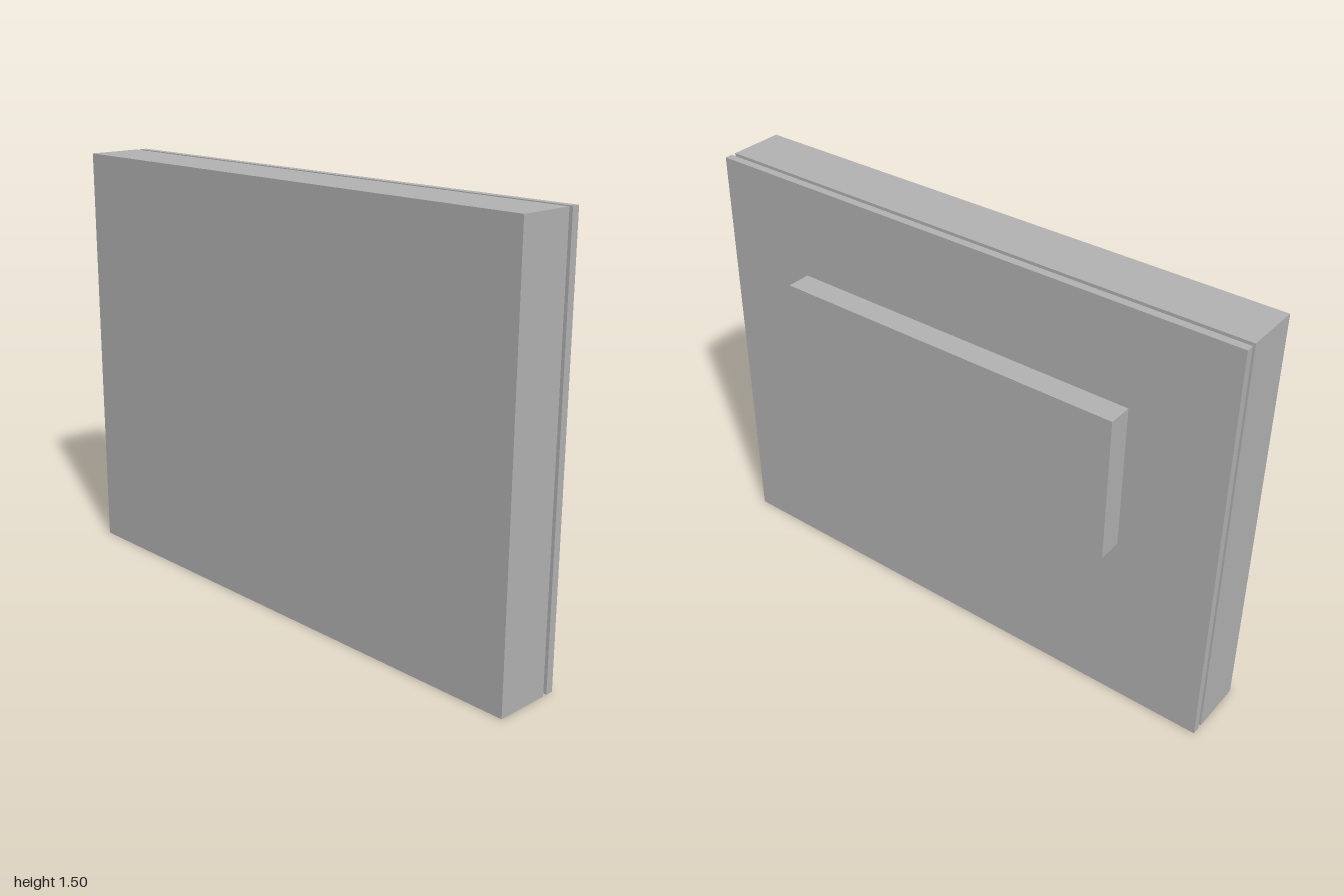
import * as THREE from 'three';

export function createModel() {
  const group = new THREE.Group();
  const grey = new THREE.MeshStandardMaterial({ color: 0xb2b2b2 });
  grey.name = 'grey';

  // A box given by its width, its bottom and top, and its back and front
  function slab(name, width, y0, y1, z0, z1) {
    const mesh = new THREE.Mesh(new THREE.BoxGeometry(width, y1 - y0, z1 - z0), grey);
    mesh.position.set(0, (y0 + y1) / 2, (z0 + z1) / 2);
    mesh.name = name;
    group.add(mesh);
  }

  // Thick front panel
  slab('frontPanel', 2, 0, 1.5, -0.034, 0.165);
  // Recessed core that forms the narrow groove round the edge
  slab('recessedCore', 1.968, 0.016, 1.484, -0.05, -0.034);
  // Thin back plate
  slab('backPlate', 2, 0, 1.5, -0.078, -0.05);
  // Raised block on the back
  slab('backBlock', 1.3, 0.64, 1.162, -0.165, -0.078);

  return group;
}
